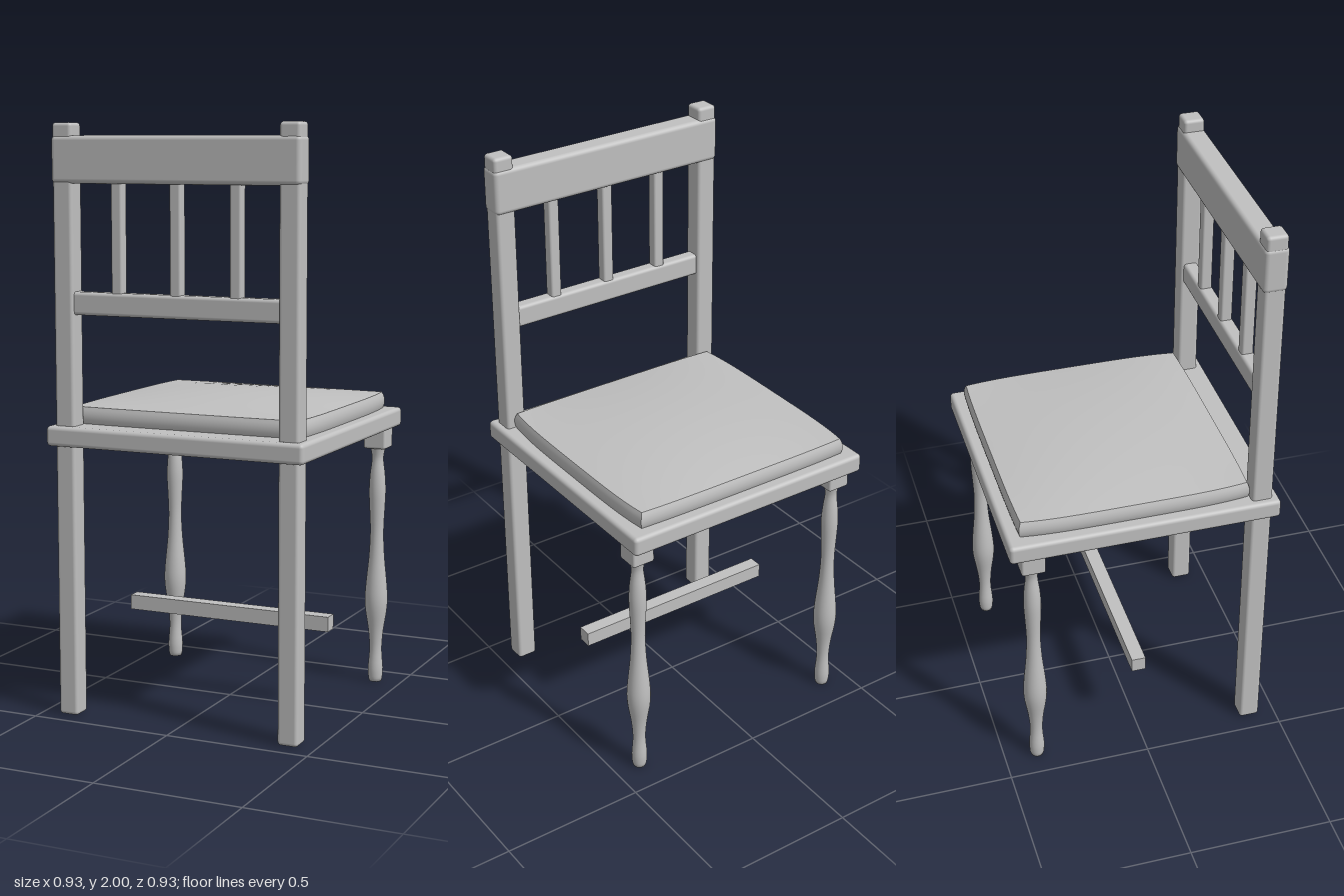
import * as THREE from 'three';
import { RoundedBoxGeometry } from 'three/addons/geometries/RoundedBoxGeometry.js';

export function createModel() {
  const chair = new THREE.Group();
  chair.name = 'chair';
  const grey = new THREE.MeshStandardMaterial({ name: 'plain grey', color: 0xc0c0c0 });

  function add(name, geometry, x = 0, y = 0, z = 0) {
    const mesh = new THREE.Mesh(geometry, grey);
    mesh.name = name;
    mesh.position.set(x, y, z);
    chair.add(mesh);
    return mesh;
  }
  // Rounded bar standing from y0 to y1
  function bar(name, width, y0, y1, depth, x, z, radius) {
    return add(name, new RoundedBoxGeometry(width, y1 - y0, depth, 3, radius), x, (y0 + y1) / 2, z);
  }

  // Turned front leg profile, bottom to top
  const turning = [[0.025, 0.012], [0.027, 0.05], [0.022, 0.12], [0.027, 0.19], [0.038, 0.26], [0.041, 0.31],
    [0.037, 0.37], [0.028, 0.46], [0.024, 0.55], [0.027, 0.63], [0.03, 0.70], [0.027, 0.76],
    [0.021, 0.81], [0.022, 0.835], [0.028, 0.865]].map(([r, y]) => new THREE.Vector2(r, y));
  const spline = new THREE.SplineCurve(turning).getPoints(42);
  const legProfile = [new THREE.Vector2(0, 0), new THREE.Vector2(0.022, 0), ...spline];

  for (const side of [-1, 1]) {
    // Back posts run from the floor to the top of the backrest
    bar('backPost', 0.072, 0, 2, 0.072, side * 0.405, 0.405, 0.012);
    add('frontLeg', new THREE.LatheGeometry(legProfile, 24), side * 0.405, 0, -0.383);
    bar('frontLegBlock', 0.082, 0.858, 0.94, 0.082, side * 0.405, -0.383, 0.008);
  }

  // Seat board
  bar('seatBoard', 0.93, 0.93, 0.998, 0.93, 0, 0, 0.014);

  // Domed cushion with gently bowed edges
  const cushion = new THREE.BoxGeometry(2, 1, 2, 20, 6, 20);
  const p = cushion.attributes.position;
  for (let i = 0; i < p.count; i++) {
    const u = p.getX(i), w = p.getZ(i), t = p.getY(i) + 0.5;
    const bulge = 0.008 * (4 * t * (1 - t));
    const dome = 0.027 * (1 - u * u) * (1 - w * w);
    p.setXYZ(i,
      u * (0.406 + 0.014 * (1 - w ** 4) + bulge),
      0.99 + t * (0.065 + dome),
      -0.027 + w * (0.387 + 0.006 * (1 - u ** 4) + bulge));
  }
  cushion.computeVertexNormals();
  add('cushion', cushion);

  // Backrest rails and spindles
  bar('topRail', 0.888, 1.802, 1.958, 0.082, 0, 0.405, 0.016);
  bar('lowerRail', 0.76, 1.37, 1.447, 0.05, 0, 0.405, 0.012);
  for (const x of [-0.213, 0, 0.213]) bar('backSpindle', 0.04, 1.43, 1.82, 0.04, x, 0.405, 0.008);

  // Stretcher bar under the seat
  add('stretcher', new THREE.BoxGeometry(0.76, 0.052, 0.05), 0, 0.303, 0);

  return chair;
}
